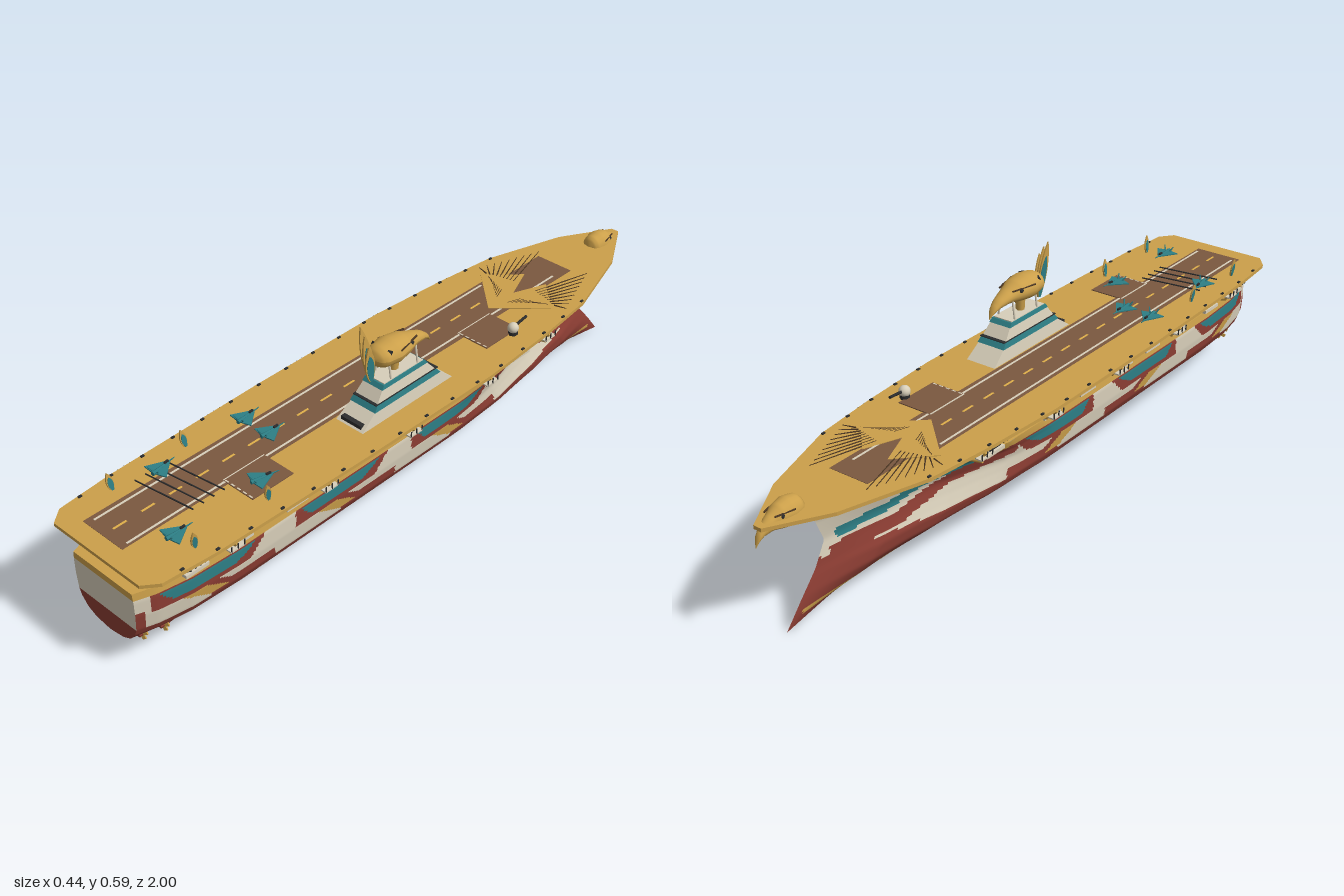
import * as THREE from 'three';

const mat = (name, color) => Object.assign(new THREE.MeshStandardMaterial({ color }), { name });
const M = {
  gold: mat('gold', 0xcca04a), white: mat('ivory', 0xd8cfba), red: mat('hull red', 0x8c3d33),
  teal: mat('teal', 0x2d7f86), brown: mat('runway brown', 0x7b5840), dark: mat('dark grey', 0x2c2d2e),
  yellow: mat('marking yellow', 0xe0b04a), bark: mat('feather brown', 0x4c3723),
};
const TOP = 0.326; // deck height

// Piecewise linear lookup in [[x, y], ...] with x rising
function table(pts, x) {
  if (x <= pts[0][0]) return pts[0][1];
  for (let i = 1; i < pts.length; i++) {
    const [a, p] = pts[i - 1], [b, q] = pts[i];
    if (x <= b) return p + (q - p) * (x - a) / (b - a);
  }
  return pts[pts.length - 1][1];
}

// Grid surface fn(u, v) -> [x, y, z]; pick(u, v) chooses a material index per cell
function gridGeo(nu, nv, fn, flip = false, pick = null) {
  const pos = [], lists = [];
  for (let i = 0; i <= nu; i++) for (let j = 0; j <= nv; j++) pos.push(...fn(i / nu, j / nv));
  for (let i = 0; i < nu; i++) for (let j = 0; j < nv; j++) {
    const k = pick ? pick((i + 0.5) / nu, (j + 0.5) / nv) : 0;
    const a = i * (nv + 1) + j, b = a + nv + 1, c = b + 1, d = a + 1;
    (lists[k] ??= []).push(...(flip ? [a, c, b, a, d, c] : [a, b, c, a, c, d]));
  }
  const g = new THREE.BufferGeometry(), index = [];
  g.setAttribute('position', new THREE.Float32BufferAttribute(pos, 3));
  lists.forEach((l, k) => { if (pick) g.addGroup(index.length, l.length, k); for (const n of l) index.push(n); });
  g.setIndex(index);
  g.computeVertexNormals();
  return g;
}

function add(parent, name, geo, material, x = 0, y = 0, z = 0) {
  const m = new THREE.Mesh(geo, material);
  m.name = name;
  m.position.set(x, y, z);
  parent.add(m);
  return m;
}
const box = (p, name, m, w, h, d, x, y, z) => add(p, name, new THREE.BoxGeometry(w, h, d), m, x, y, z);

// Thin rod between two points
function rod(p, name, m, a, b, r0, r1 = r0) {
  const A = new THREE.Vector3(...a), B = new THREE.Vector3(...b), d = B.clone().sub(A);
  const o = add(p, name, new THREE.CylinderGeometry(r1, r0, d.length(), 6), m);
  o.position.copy(A).add(B).multiplyScalar(0.5);
  o.quaternion.setFromUnitVectors(new THREE.Vector3(0, 1, 0), d.normalize());
}

// Flat plate from [x, z] corners, standing on height y
function plate(p, name, m, pts, y, h) {
  const s = new THREE.Shape(pts.map(([x, z]) => new THREE.Vector2(x, -z)));
  const g = new THREE.ExtrudeGeometry(s, { depth: h, bevelEnabled: false }).rotateX(-Math.PI / 2);
  add(p, name, g, m, 0, y, 0);
}

// Upright feather lying in the yz plane, with a teal inner blade
function feather(p, name, h, w, x, y, z, tilt, splay) {
  const g = new THREE.Group();
  g.name = name;
  const blade = (k, t) => {
    const s = new THREE.Shape();
    s.moveTo(-w * 0.2 * k, 0);
    s.quadraticCurveTo(-w * k, h * 0.5, 0, h * k);
    s.quadraticCurveTo(w * k, h * 0.5, w * 0.2 * k, 0);
    return new THREE.ExtrudeGeometry(s, { depth: t, bevelEnabled: false }).translate(0, 0, -t / 2).rotateY(Math.PI / 2);
  };
  add(g, 'featherEdge', blade(1, 0.004), M.gold);
  add(g, 'featherBlade', blade(0.75, 0.006), M.teal);
  g.position.set(x, y, z);
  g.rotation.set(tilt, 0, splay);
  p.add(g);
}

// Hull form: t runs stern to bow, s runs keel to top edge
const BEAM = [[0, 0.11], [0.03, 0.13], [0.08, 0.147], [0.16, 0.155], [0.6, 0.155], [0.7, 0.147], [0.8, 0.122], [0.9, 0.076], [1, 0.003]];
const MID = [[0, 0], [0.04, 0.45], [0.12, 0.72], [0.25, 0.9], [0.37, 0.97], [0.6, 1], [0.85, 1], [1, 0.97]];
const BOW = [[0, 0], [0.1, 0.42], [0.22, 0.72], [0.35, 0.82], [0.5, 0.72], [0.65, 0.66], [0.8, 0.78], [1, 1.15]];
const STEM = [[0, -0.93], [0.2, -0.88], [0.4, -0.825], [0.6, -0.79], [0.8, -0.815], [1, -0.88]];
function hull(t, s) {
  const zn = 0.99 - 1.92 * t, k = Math.max(0, (-0.2 - zn) / 0.73);
  const keel = 0.08 * (1 - k ** 1.6), top = table([[-0.62, 0.312], [-0.3, 0.26]], zn);
  const w = THREE.MathUtils.smoothstep(t, 0.55, 0.95);
  return [table(BEAM, t) * (table(MID, s) * (1 - w) + table(BOW, s) * w),
    keel + (top - keel) * s, 0.99 + (table(STEM, s) - 0.99) * t];
}

// Hull paint scheme: 0 white, 1 red, 2 gold, 3 teal
function paint(t, s) {
  const [, y, z] = hull(t, s);
  if (z < -0.6 && z > -0.88 && Math.abs(y - 0.07 - 0.14 * (z + 0.62)) < 0.008) return 2;
  if (y < 0.146) return 1;
  if (y > 0.24 && z > -0.3) return 2;
  if (z < -0.36 && z > -0.76 && Math.abs(y - table([[-0.76, 0.193], [-0.62, 0.212], [-0.5, 0.245], [-0.36, 0.252]], z)) < 0.013) return 3;
  if (z < -0.22 && z > -0.78 && Math.abs(y - table([[-0.78, 0.152], [-0.6, 0.17], [-0.44, 0.22], [-0.22, 0.226]], z)) < 0.016) return 1;
  if (z > 0.965) return y > 0.2 ? 0 : 1;
  for (const z0 of [0.95, 0.52, 0.1]) {
    const d = z0 - z;
    if (d < 0 || d > 0.41) continue;
    if (y > 0.203 && y < 0.235 && d > 0.02 + (0.235 - y) && d < 0.3 - (0.235 - y) * 2) return 3;
    if (y > 0.192 && d < 0.33 - (0.24 - y)) return 1;
    const q = d - 0.09 - (0.2 - y) * 2;
    if (y > 0.153 && y <= 0.2 && Math.abs(q) < 0.032) return 2;
    if (y <= 0.2 && q >= 0.032 && q < 0.07) return 1;
    if (y < 0.168 && d > 0.16 && d < 0.36) return 1;
  }
  return 0;
}

// Beaked bird head, pointing to -z, unit length
function head(p, name, len, x, y, z, sx, sy) {
  const g = new THREE.Group();
  g.name = name;
  const RX = [[0, 0.005], [0.02, 0.12], [0.1, 0.19], [0.3, 0.225], [0.5, 0.19], [0.65, 0.13], [0.82, 0.09], [0.95, 0.05], [1, 0.004]];
  const YC = [[0, 0], [0.5, 0], [0.7, -0.03], [0.85, -0.08], [0.95, -0.16], [1, -0.28]];
  add(g, 'skullAndBeak', gridGeo(32, 20, (u, v) => {
    const r = table(RX, u), a = v * Math.PI * 2;
    return [r * Math.cos(a), table(YC, u) + r * 0.95 * Math.sin(a), -u];
  }), M.gold);
  for (const s of [-1, 1]) {
    const e = add(g, 'eye', new THREE.SphereGeometry(0.035, 10, 8), M.dark, s * 0.155, 0.06, -0.53);
    e.scale.x = 0.6;
    rod(g, 'brow', M.bark, [s * 0.2, 0.09, -0.3], [s * 0.11, 0.09, -0.66], 0.014);
  }
  g.position.set(x, y, z);
  g.scale.set(len * sx, len * sy, len);
  p.add(g);
}

function jet(p, x, z, turn) {
  const g = new THREE.Group();
  g.name = 'jet';
  plate(g, 'deltaWing', M.teal, [[0, -0.03], [0.036, 0.025], [0.012, 0.03], [-0.012, 0.03], [-0.036, 0.025]], 0.007, 0.003);
  rod(g, 'fuselage', M.teal, [0, 0.009, 0.035], [0, 0.009, -0.045], 0.006, 0.001);
  for (const s of [-1, 1]) {
    rod(g, 'tailFin', M.teal, [s * 0.008, 0.009, 0.025], [s * 0.015, 0.023, 0.034], 0.003, 0.0015);
    rod(g, 'landingGear', M.dark, [s * 0.01, 0, 0.01], [s * 0.01, 0.009, 0.01], 0.002);
  }
  box(g, 'canopy', M.dark, 0.005, 0.005, 0.014, 0, 0.014, -0.015);
  g.position.set(x, TOP + 0.002, z);
  g.rotation.y = turn;
  p.add(g);
}

export function createModel() {
  const ship = new THREE.Group();
  ship.name = 'carrier';
  const hullMats = [M.white, M.red, M.gold, M.teal];

  // Hull sides, transom, top and gallery
  for (const s of [1, -1])
    add(ship, 'hullSide', gridGeo(240, 44, (t, v) => { const [x, y, z] = hull(t, v); return [s * x, y, z]; }, s < 0, paint), hullMats);
  add(ship, 'transom', gridGeo(1, 44, (u, v) => { const [x, y, z] = hull(0, v); return [(2 * u - 1) * x, y, z]; }, false,
    (u, v) => (v > 0.885 ? 2 : hull(0, v)[1] < 0.146 ? 1 : 0)), hullMats);
  add(ship, 'hullTop', gridGeo(1, 40, (u, v) => { const [x, y, z] = hull(v, 1); return [(2 * u - 1) * x, y, z]; }), M.gold);
  plate(ship, 'gallery', M.white, [[-0.11, 0.94], [0.11, 0.94], [0.125, 0.88], [0.125, -0.35], [0.09, -0.55], [-0.09, -0.55], [-0.125, -0.35], [-0.125, 0.88]], 0.258, 0.052);

  // Flight deck
  const EDGE = [[-0.99, 0.012], [-0.84, 0.1], [-0.6, 0.175], [-0.4, 0.197], [-0.15, 0.213], [0.3, 0.212], [0.8, 0.2], [0.96, 0.187], [1, 0.155]];
  const outline = k => [...EDGE.map(([z, x]) => [-x * k, z * (k < 1 ? 0.96 : 1)]), ...EDGE.map(([z, x]) => [x * k, z * (k < 1 ? 0.96 : 1)]).reverse()];
  plate(ship, 'flightDeck', M.gold, outline(1), 0.316, 0.01);
  plate(ship, 'deckUnderside', M.gold, outline(0.85), 0.306, 0.011);

  // Deck markings
  plate(ship, 'runway', M.brown, [[-0.11, 0.95], [0.035, 0.95], [0.045, -0.71], [-0.075, -0.71], [-0.075, -0.49], [-0.105, -0.49]], TOP, 0.001);
  box(ship, 'runwayLine', M.white, 0.006, 0.002, 1.4, -0.094, TOP + 0.001, 0.23);
  box(ship, 'runwayLine', M.white, 0.006, 0.002, 1.58, 0.026, TOP + 0.001, 0.14);
  for (let i = 0; i < 18; i++) box(ship, 'centreDash', M.yellow, 0.006, 0.002, 0.04, -0.036, TOP + 0.001, 0.9 - i * 0.085);
  for (const z of [-0.303, 0.56]) {
    box(ship, 'lift', M.brown, 0.105, 0.003, 0.135, 0.072, TOP + 0.001, z);
    for (let i = 0; i < 5; i++) box(ship, 'liftDash', M.white, 0.012, 0.002, 0.004, 0.03 + i * 0.021, TOP + 0.002, z + 0.064);
    box(ship, 'liftEdge', M.white, 0.003, 0.002, 0.135, 0.02, TOP + 0.002, z);
  }
  for (let i = 0; i < 4; i++) rod(ship, 'arrestorWire', M.dark, [-0.135, TOP + 0.004, 0.675 + i * 0.033], [0.05, TOP + 0.004, 0.65 + i * 0.033], 0.002);

  // Spread wing emblem on the bow deck
  for (const s of [-1, 1]) {
    plate(ship, 'wingRoot', M.gold, [[0, -0.39], [s * 0.13, -0.51], [s * 0.04, -0.6], [0, -0.5]], TOP + 0.0005, 0.002);
    for (let i = 0; i < 9; i++) {
      const f = i / 8;
      rod(ship, 'wingFeather', M.bark, [s * (0.04 + 0.085 * f), TOP + 0.001, -0.55 + 0.02 * f], [s * (0.09 + 0.07 * f), TOP + 0.001, -0.73 + 0.19 * f], 0.0022, 0.001);
      rod(ship, 'wingBarb', M.bark, [s * (0.02 + 0.07 * f), TOP + 0.002, -0.45 - 0.06 * f], [s * (0.035 + 0.075 * f), TOP + 0.002, -0.49 - 0.03 * f], 0.0012);
    }
  }

  // Edge lights, sponsons and guns
  for (const s of [-1, 1]) {
    for (let i = 0; i < 16; i++) {
      const z = 0.9 - i * 0.1;
      box(ship, 'edgeLight', M.dark, 0.006, 0.005, 0.01, s * (table(EDGE, z) - 0.006), TOP + 0.001, z);
    }
    for (const z of [0.84, 0.7, 0.52, 0.38, 0.24, 0.06, -0.1, -0.34]) {
      box(ship, 'sponson', M.white, 0.04, 0.01, 0.07, s * 0.145, 0.27, z);
      box(ship, 'gunMount', M.dark, 0.016, 0.016, 0.05, s * 0.15, 0.283, z);
      for (let i = -2; i <= 2; i++) rod(ship, 'gunBarrel', M.dark, [s * 0.15, 0.286, z + i * 0.015], [s * 0.178, 0.296, z + i * 0.015], 0.0022);
    }
    for (const z of [0.75, 0.45, 0.15, -0.15, -0.42]) {
      const e = table(EDGE, z);
      rod(ship, 'bracket', M.gold, [s * 0.12, 0.274, z], [s * 0.185, 0.287, z], 0.004);
      rod(ship, 'deckStay', M.gold, [s * 0.18, 0.286, z], [s * e, 0.316, z], 0.004);
      box(ship, 'catwalk', M.white, 0.02, 0.004, 0.045, s * (e - 0.004), 0.304, z);
      for (const k of [-0.02, 0, 0.02]) rod(ship, 'catwalkPost', M.dark, [s * (e + 0.005), 0.303, z + k], [s * (e + 0.006), 0.32, z + k], 0.0018);
    }
    for (const z of [0.6, 0.83]) feather(ship, 'deckFeather', 0.053, 0.018, s * 0.15, TOP, z, 0.15, -s * 0.12);
  }

  // Island: tapered tiers
  const Y = [0.326, 0.362, 0.378, 0.409, 0.42];
  const hx = y => table([[0.326, 0.047], [0.362, 0.042], [0.42, 0.031]], y);
  const zb = y => table([[0.326, 0.265], [0.362, 0.215], [0.42, 0.17]], y);
  const zf = y => table([[0.326, -0.075], [0.362, -0.03], [0.42, 0.02]], y);
  const island = new THREE.Group();
  island.name = 'island';
  ship.add(island);
  for (let i = 0; i < 4; i++) {
    const g = new THREE.BoxGeometry(1, 1, 1), p = g.attributes.position, out = i % 2 ? 0.002 : 0;
    for (let n = 0; n < p.count; n++) {
      const y = p.getY(n) > 0 ? Y[i + 1] : Y[i];
      p.setXYZ(n, 0.092 + Math.sign(p.getX(n)) * (hx(y) + out), y, p.getZ(n) > 0 ? zb(y) + out : zf(y) - out);
    }
    g.computeVertexNormals();
    add(island, i % 2 ? 'windowTier' : 'islandTier', g, i % 2 ? M.teal : M.white);
  }
  box(island, 'islandRoof', M.white, 0.06, 0.003, 0.146, 0.092, 0.421, 0.095);
  box(island, 'tierLedge', M.dark, 0.082, 0.002, 0.235, 0.092, 0.379, 0.092);
  box(island, 'aftRamp', M.dark, 0.07, 0.014, 0.05, 0.092, 0.333, 0.235);
  for (const s of [-1, 1]) for (const z of [0.04, 0.14])
    rod(island, 'mastStrut', M.white, [0.092 + s * 0.028, 0.418, z], [0.092 + s * 0.02, 0.475, z], 0.003);
  rod(island, 'mast', M.gold, [0.092, 0.418, 0.1], [0.092, 0.48, 0.1], 0.012, 0.016);
  head(island, 'islandHead', 0.215, 0.092, 0.487, 0.18, 0.94, 0.76);
  for (let i = -2; i <= 2; i++) {
    const w = box(island, 'bridgeWindow', i % 2 ? M.teal : M.dark, 0.013, 0.01, 0.006, 0.092 + i * 0.0145, 0.506, 0.163 - i * i * 0.0045);
    w.rotation.set(-0.5, i * 0.3, 0);
  }
  [[0.086, 0.16, 0.07], [0.092, 0.14, 0.005], [0.098, 0.115, -0.08]].forEach(([x, h, splay], i) =>
    feather(island, 'crestFeather', h, 0.03, x, 0.432, 0.178 + i * 0.006, 0.16, splay));

  // Bow figurehead
  head(ship, 'bowHead', 0.145, 0, 0.322, -0.855, 1.05, 1.2);

  // Close-in gun
  rod(ship, 'gunPedestal', M.dark, [0.13, TOP, -0.34], [0.13, 0.338, -0.34], 0.014);
  add(ship, 'gunDome', new THREE.SphereGeometry(0.016, 14, 10), M.white, 0.13, 0.346, -0.34);
  rod(ship, 'gunDomeBarrel', M.dark, [0.13, 0.348, -0.34], [0.127, 0.354, -0.4], 0.004);

  // Parked jets
  [[-0.12, 0.42, 0.1], [-0.03, 0.42, 0], [0.09, 0.56, -0.2], [-0.12, 0.7, 0.15], [0.09, 0.83, 0]].forEach(j => jet(ship, ...j));

  // Propellers and shafts
  for (const s of [-1, 1]) for (const [x, y, z] of [[0.068, 0.082, 0.95], [0.088, 0.088, 0.9]]) {
    rod(ship, 'shaft', M.red, [s * x, y, z + 0.01], [s * x, y + 0.012, z - 0.12], 0.006);
    for (let i = 0; i < 4; i++) {
      const b = box(ship, 'propellerBlade', M.gold, 0.01, 0.016, 0.004, s * x, y, z);
      b.geometry.translate(0, 0.009, 0);
      b.rotation.set(0, 0.4, i * Math.PI / 2 + 0.4);
    }
  }
  return ship;
}
